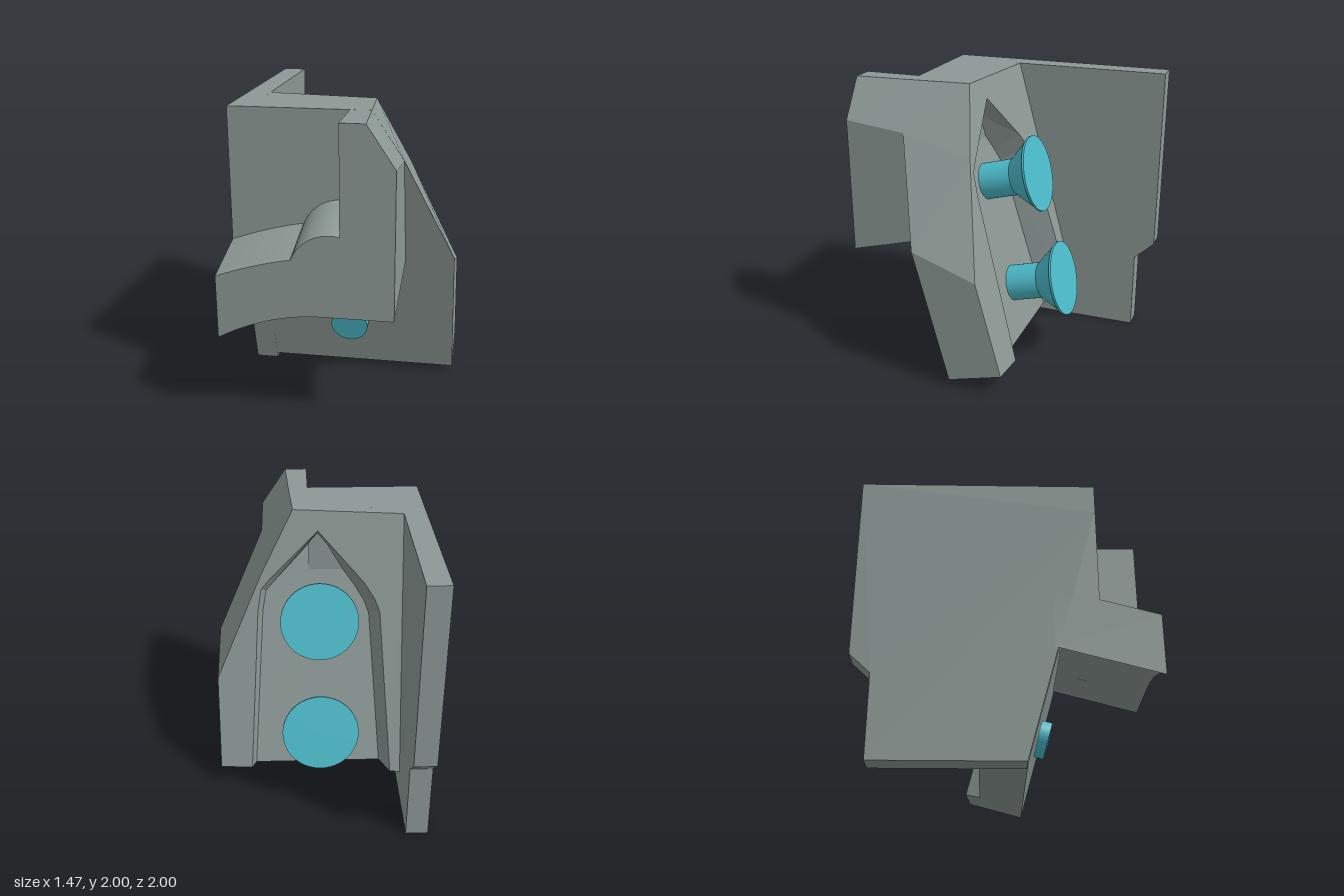
import * as THREE from 'three';
import { ConvexGeometry } from 'three/addons/geometries/ConvexGeometry.js';

const SLANT = THREE.MathUtils.degToRad(15);
const SHEAR = Math.tan(SLANT);
const V = (x, y, z) => new THREE.Vector3(x, y, z);

// Collects flat polygons, each turned to face a given outward direction
class Faces {
  constructor() { this.pos = []; }
  add(pts, dir, a = 'x', b = 'y') {
    const flat = pts.map(p => new THREE.Vector2(p[a], p[b]));
    for (const [i, j, k] of THREE.ShapeUtils.triangulateShape(flat, [])) this.tri(pts[i], pts[j], pts[k], dir);
  }
  tri(p, q, r, dir) {
    const n = q.clone().sub(p).cross(r.clone().sub(p));
    for (const v of n.dot(dir) < 0 ? [p, r, q] : [p, q, r]) this.pos.push(v.x, v.y, v.z);
  }
  // Strip of quads between two matching outlines
  strip(A, B, from, to) {
    for (let i = from; i < to; i++) {
      const dir = V(A[i + 1].y - A[i].y, A[i].x - A[i + 1].x, 0);
      this.tri(A[i], A[i + 1], B[i + 1], dir);
      this.tri(A[i], B[i + 1], B[i], dir);
    }
  }
  geometry() {
    const g = new THREE.BufferGeometry();
    g.setAttribute('position', new THREE.Float32BufferAttribute(this.pos, 3));
    g.computeVertexNormals();
    return g;
  }
}

// Slanted body: front plane at z = 0, back plane swung about the upright axis, pocket open at the bottom
function bodyGeometry() {
  const back = x => -0.556 + 0.122 * (x + 0.58);
  const floor = -0.32;
  const F = [V(-0.58, 0, 0), V(0.73, 0, 0), V(0.73, 0.963, 0), V(0.4, 1.7, 0),
    V(0.198, 2.015, -0.054), V(-0.58, 2.015, -0.054)];
  const B = [[-0.58, 0], [0.73, 0], [0.73, 0.69], [0.4, 1.45], [0.17, 1.905], [-0.58, 1.88]]
    .map(([x, y]) => V(x, y, back(x)));
  const P = [[-0.51, 0], [-0.425, 1.2], [-0.39, 1.29], [-0.32, 1.4], [0, 1.76],
    [0.34, 1.42], [0.4, 1.35], [0.425, 1.2], [0.5, 0]].map(([x, y]) => V(x, y, back(x)));
  const Q = P.map(p => {
    const inset = 0.27 * (floor - p.z);
    return V(p.x - Math.sign(p.x) * inset, p.y > 1 ? p.y - inset : p.y, floor);
  });
  const f = new Faces();
  const shoulder = V(-0.58, 1.7, 0), front = V(0, 0, 1), rear = V(0, 0, -1);
  f.add([F[0], F[1], F[2], F[3], shoulder], front);
  f.add([shoulder, F[3], F[4], F[5]], front);
  f.strip(F, B, 1, 5);
  f.add([B[0], ...P, ...B.slice(1)], rear);
  f.strip(P, Q, 0, P.length - 1);
  f.add(Q, rear);
  const n = P.length - 1;
  f.add([F[0], F[1], B[1], P[n], Q[n], Q[0], P[0], B[0]], V(0, -1, 0), 'x', 'z');
  return f.geometry();
}

// Flat side plate, drawn as a z-y profile
function plateGeometry() {
  const s = new THREE.Shape([[0.12, 0], [0.6, 1.79], [0.6, 2], [-1, 2], [-1, 0.7], [-0.86, 0.57], [-0.86, 0]]
    .map(([z, y]) => new THREE.Vector2(-z, y)));
  const g = new THREE.ExtrudeGeometry(s, { depth: 0.155, bevelEnabled: false });
  g.rotateY(Math.PI / 2);
  g.translate(-0.735, 0, 0);
  return g;
}

// Curved arm, sheared so that it runs square to the slanted front
function armGeometry() {
  const s = new THREE.Shape();
  s.moveTo(-0.735, 0.575);
  s.quadraticCurveTo(-0.4, 0.765, -0.05, 0.765);
  s.lineTo(0.062, 0.765);
  s.lineTo(0.062, 1.298);
  s.absarc(0, 1.04, 0.265, Math.atan2(0.258, 0.062), Math.atan2(0.09, -0.25), false);
  s.lineTo(-0.25, 1.135);
  s.quadraticCurveTo(-0.46, 1.1, -0.735, 1.0);
  const g = new THREE.ExtrudeGeometry(s, { depth: 0.7, bevelEnabled: false, curveSegments: 16 });
  g.translate(0, 0, 0.3);
  const p = g.attributes.position;
  for (let i = 0; i < p.count; i++) p.setY(i, p.getY(i) + SHEAR * (1 - p.getZ(i)));
  g.computeVertexNormals();
  return g;
}

// Upright block at the end of the arm, with its outer top corner cut off
function columnGeometry() {
  return new ConvexGeometry([
    V(0.06, 0.765, 1), V(0.4, 0.765, 1), V(0.06, 0.939, 0.35), V(0.4, 0.939, 0.35),
    V(0.06, 2, 1), V(0.22, 2, 1), V(0.4, 1.73, 1), V(0.4, 1.68, 0.57),
    V(0.198, 2, 0.6), V(0.06, 2, 0.35), V(0.18, 1.98, 0.35), V(0.4, 1.6, 0.35),
  ]);
}

export function createModel() {
  const grey = new THREE.MeshStandardMaterial({ color: 0x8d9996 });
  grey.name = 'grey';
  const teal = new THREE.MeshStandardMaterial({ color: 0x4dbccb });
  teal.name = 'teal';

  const model = new THREE.Group();
  model.name = 'bracket';
  const add = (parent, name, geometry, material) => {
    const m = new THREE.Mesh(geometry, material);
    m.name = name;
    parent.add(m);
    return m;
  };

  add(model, 'sidePlate', plateGeometry(), grey);
  add(model, 'arm', armGeometry(), grey);
  add(model, 'column', columnGeometry(), grey);
  add(model, 'slotWall', new THREE.BoxGeometry(0.797, 0.95, 0.4), grey).position.set(-0.3365, 1.525, 0.4);

  // Everything square to the slanted front sits in one tilted group
  const tilted = new THREE.Group();
  tilted.name = 'slantedPart';
  tilted.position.set(0, 0.04, 0.13);
  tilted.rotation.x = SLANT;
  model.add(tilted);
  add(tilted, 'body', bodyGeometry(), grey);

  // Round parts, from radius and depth pairs along the tilted z axis
  const disc = (name, y, z0, z1, r0, r1) => {
    const g = new THREE.CylinderGeometry(r0, r1, z0 - z1, 48);
    g.rotateX(Math.PI / 2);
    add(tilted, name, g, teal).position.set(0, y, (z0 + z1) / 2);
  };
  for (const y of [1.178, 0.38]) {
    disc('screwStem', y, -0.3, -0.553, 0.13, 0.13);
    disc('screwCone', y, -0.553, -0.71, 0.13, 0.26);
    disc('screwRim', y, -0.71, -0.725, 0.266, 0.266);
  }
  disc('screwTip', 0.38, 0.071, -0.02, 0.13, 0.13);

  return model;
}
